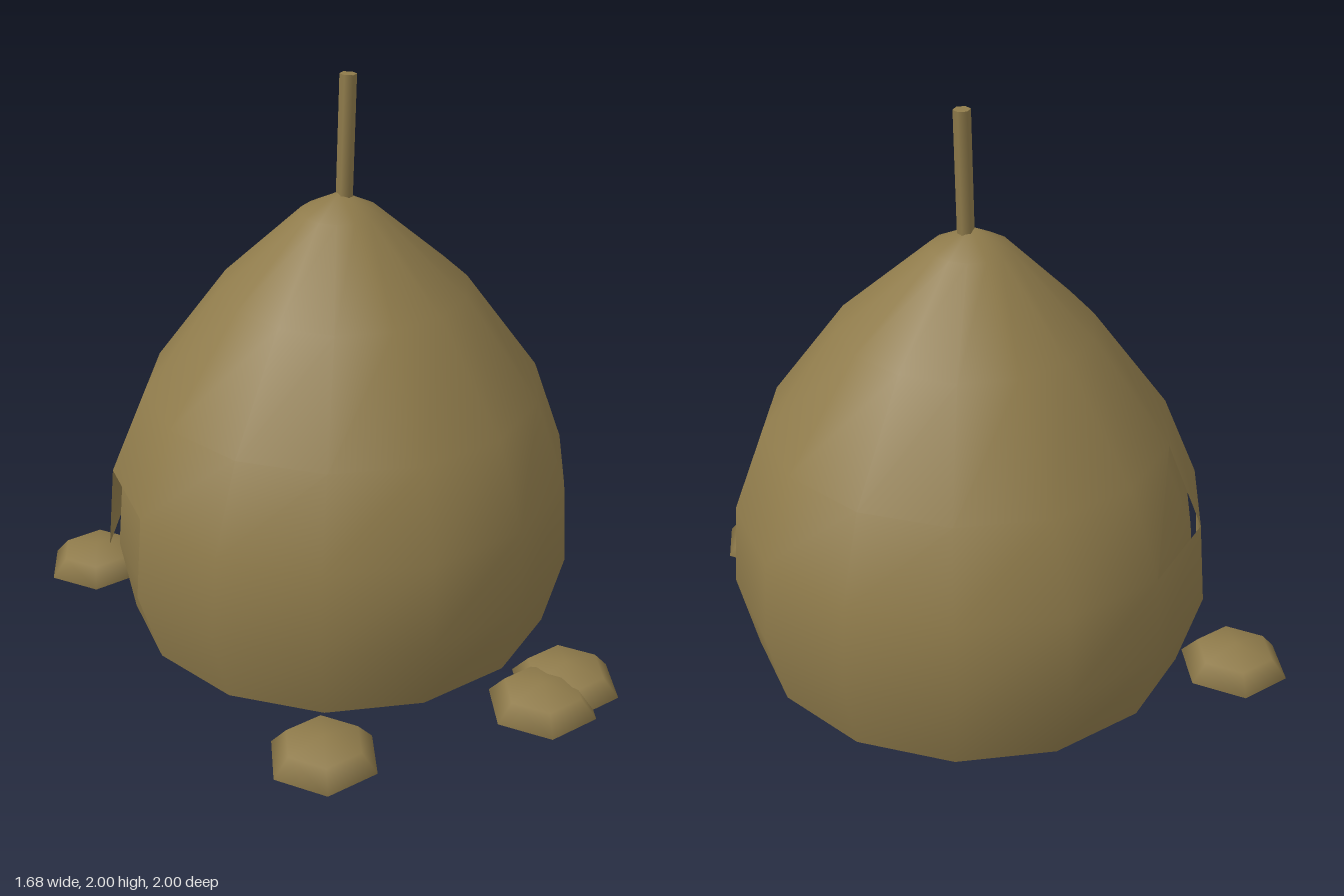
import * as THREE from 'three';

const SIDES = 14;
// body rings from the apex down: [radius, height, x of the centre]
const RINGS = [
  [0, 1.6, 0.01], [0.138, 1.53, 0.01], [0.435, 1.26, 0.025], [0.7, 0.9, 0.02],
  [0.817, 0.6, 0.007], [0.84, 0.3, 0], [0.765, 0.025, 0.005],
];

// smooth shell over the rings; skip(ring, side, half) leaves out a triangle
function shell(inset, skip) {
  const pos = [], normals = [], index = [];
  RINGS.forEach(([r, y, cx], i) => {
    const edge = i < 2 || i === RINGS.length - 1;
    const radius = edge ? r : r - inset;
    // slope of the profile gives the normal
    const a = RINGS[Math.max(i - 1, 0)], b = RINGS[Math.min(i + 1, RINGS.length - 1)];
    const n = i === 0 ? [0, 1] : [a[1] - b[1], b[0] - a[0]];
    const len = Math.hypot(n[0], n[1]);
    for (let s = 0; s <= SIDES; s++) {
      // side 0 starts at -x and runs towards -z
      const t = (s / SIDES) * Math.PI * 2, c = -Math.cos(t), d = -Math.sin(t);
      pos.push(cx + c * radius, y, -0.122 + d * radius);
      normals.push((c * n[0]) / len, n[1] / len, (d * n[0]) / len);
    }
  });
  const row = SIDES + 1;
  for (let i = 0; i < RINGS.length - 1; i++) {
    for (let s = 0; s < SIDES; s++) {
      const a = i * row + s, b = a + 1, c = a + row, d = c + 1;
      if (i > 0 && !skip(i, s, 0)) index.push(a, b, d);
      if (!skip(i, s, 1)) index.push(a, d, c);
    }
  }
  const g = new THREE.BufferGeometry();
  g.setAttribute('position', new THREE.Float32BufferAttribute(pos, 3));
  g.setAttribute('normal', new THREE.Float32BufferAttribute(normals, 3));
  g.setIndex(index);
  return g;
}

export function createModel() {
  const model = new THREE.Group();
  const hide = new THREE.MeshStandardMaterial({ color: 0x8f7b4b, side: THREE.DoubleSide });
  hide.name = 'tan hide';

  const add = (name, geometry) => {
    const mesh = new THREE.Mesh(geometry, hide);
    mesh.name = name;
    model.add(mesh);
    return mesh;
  };

  // outer cover with a ragged gap at the back right corner
  const gaps = new Set(['4,0', '5,0', '5,1']);
  add('outerCover', shell(0, (i, s, half) =>
    gaps.has(`${i},${s}`) || (i === 3 && s === 2 && half === 1)));

  // lining just inside the cover
  add('lining', shell(0.035, () => false));

  // leaning pole at the top
  const base = new THREE.Vector3(0.024, 1.57, -0.117);
  const tip = new THREE.Vector3(0.042, 2, -0.117);
  const axis = tip.clone().sub(base);
  const pole = add('pole', new THREE.CylinderGeometry(0.029, 0.029, axis.length(), 6));
  pole.position.copy(base).add(tip).multiplyScalar(0.5);
  pole.quaternion.setFromUnitVectors(new THREE.Vector3(0, 1, 0), axis.normalize());

  // low six-sided stones, hollow underneath
  const dome = new THREE.SphereGeometry(0.193, 6, 2, 0, Math.PI * 2, 0, Math.PI / 2);
  dome.scale(1, 0.47, 1);
  [[-0.647, -0.833], [-0.585, 0.64], [0.18, 0.833], [0.32, 0.79]].forEach(([x, z]) => {
    add('stone', dome).position.set(x, 0, z);
  });

  return model;
}
